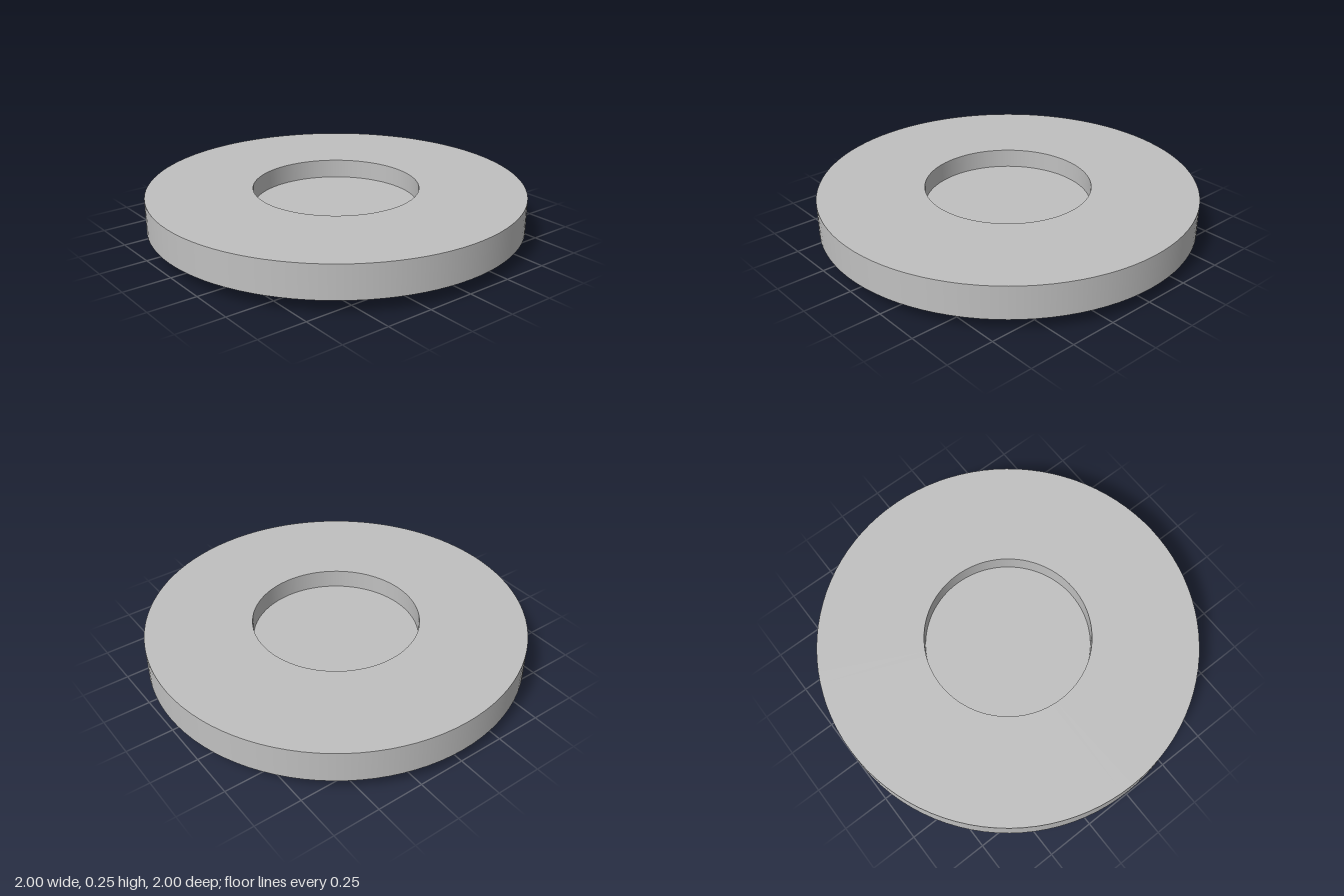
import * as THREE from 'three';

const SEGMENTS = 96;

// Revolves a closed [radius, y] profile, one band per edge so corners stay sharp
function turned(name, profile, material) {
  const part = new THREE.Group();
  part.name = name;
  for (let i = 0; i < profile.length - 1; i++) {
    const edge = [profile[i], profile[i + 1]].map(([r, y]) => new THREE.Vector2(r, y));
    const band = new THREE.Mesh(new THREE.LatheGeometry(edge, SEGMENTS), material);
    band.name = `${name}Face${i + 1}`;
    part.add(band);
  }
  return part;
}

export function createModel() {
  const model = new THREE.Group();
  model.name = 'flangedDisc';

  const grey = new THREE.MeshStandardMaterial({ color: 0xc0c0c0 });
  grey.name = 'plain grey';

  const top = 0.248, under = 0.074, grooveRoof = 0.118, pocketFloor = 0.146;

  // Underside boss, ring groove, rim and top pocket, listed from bottom to top
  model.add(turned('boss', [[0, 0], [0.55, 0], [0.55, under]], grey));
  model.add(turned('groove', [
    [0.55, under], [0.66, under], [0.66, grooveRoof], [0.78, grooveRoof], [0.78, under],
  ], grey));
  model.add(turned('rim', [[0.78, under], [1, under], [1, top], [0.44, top]], grey));
  model.add(turned('pocket', [[0.44, top], [0.44, pocketFloor], [0, pocketFloor]], grey));

  return model;
}
